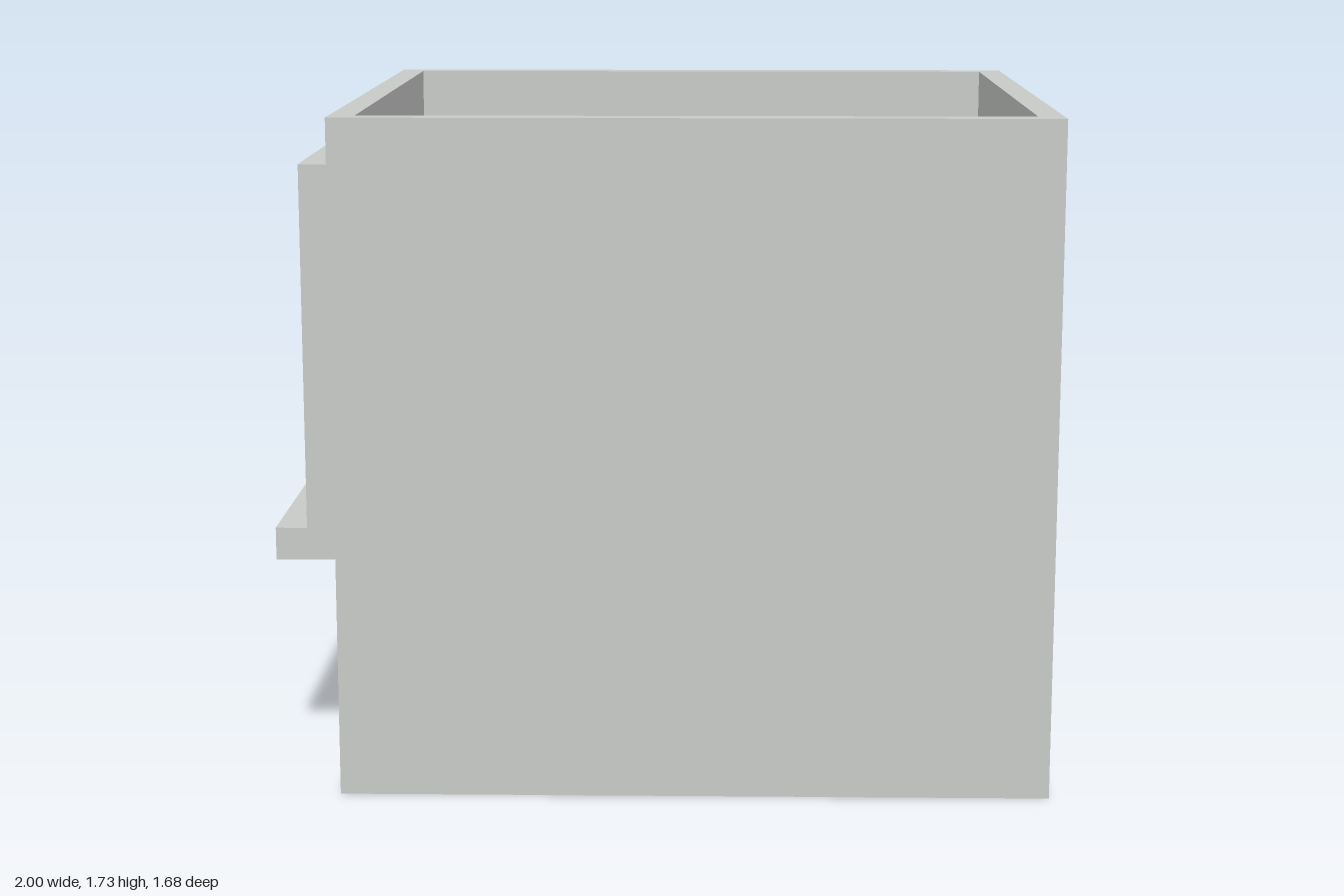
import * as THREE from 'three';

export function createModel() {
  const model = new THREE.Group();
  model.name = 'room';
  const wall = new THREE.MeshStandardMaterial({ name: 'plaster grey', color: 0xc8cac8 });
  const wood = new THREE.MeshStandardMaterial({ name: 'door tan', color: 0xb5a18c });

  const add = (parent, name, geometry, material) => {
    const mesh = new THREE.Mesh(geometry, material);
    mesh.name = name;
    parent.add(mesh);
    return mesh;
  };
  // Box given by its minimum and maximum on each axis
  const box = (parent, name, material, x0, x1, y0, y1, z0, z1) => {
    const mesh = add(parent, name, new THREE.BoxGeometry(x1 - x0, y1 - y0, z1 - z0), material);
    mesh.position.set((x0 + x1) / 2, (y0 + y1) / 2, (z0 + z1) / 2);
    return mesh;
  };
  // Slab facing x, with rectangular holes; rectangles are [z0, z1, y0, y1]
  const trace = (path, [z0, z1, y0, y1]) => {
    path.moveTo(z0, y0);
    path.lineTo(z1, y0);
    path.lineTo(z1, y1);
    path.lineTo(z0, y1);
    path.closePath();
    return path;
  };
  const slab = (parent, name, material, x0, x1, rect, holes) => {
    const shape = trace(new THREE.Shape(), rect);
    holes.forEach((h) => shape.holes.push(trace(new THREE.Path(), h)));
    const geo = new THREE.ExtrudeGeometry(shape, { depth: x1 - x0, bevelEnabled: false });
    geo.rotateY(-Math.PI / 2);
    geo.translate(x1, 0, 0);
    return add(parent, name, geo, material);
  };
  const inset = ([z0, z1, y0, y1], d) => [z0 + d, z1 - d, y0 + d, y1 - d];

  // Walls and floor, open at the top
  const L = -0.81, R = 1, D = 0.84, H = 1.73, T = 0.065, F = 0.045;
  const doorway = [0.15, 0.467, F, 0.825];
  const windowRect = [-0.038, 0.595, 0.555, 1.59];
  const shell = new THREE.Group();
  shell.name = 'shell';
  model.add(shell);
  box(shell, 'floor', wall, L, R, 0, F, -D, D);
  box(shell, 'frontWall', wall, L, R, F, H, D - T, D);
  box(shell, 'backWall', wall, L, R, F, H, -D, -D + T);
  const side = [-D + T, D - T, F, H];
  slab(shell, 'windowWall', wall, L, L + T, side, [inset(windowRect, 0.02)]);
  // The doorway reaches the floor, so this wall is a notched outline
  const notched = new THREE.Shape();
  [[side[0], F], [doorway[0], F], [doorway[0], doorway[3]], [doorway[1], doorway[3]],
    [doorway[1], F], [side[1], F], [side[1], H], [side[0], H]]
    .forEach(([z, y], i) => (i ? notched.lineTo(z, y) : notched.moveTo(z, y)));
  const doorWall = new THREE.ExtrudeGeometry(notched, { depth: T, bevelEnabled: false });
  doorWall.rotateY(-Math.PI / 2);
  doorWall.translate(R, 0, 0);
  add(shell, 'doorWall', doorWall, wall);

  // Window: deep casing, projecting sill, sash and glazing bars
  const win = new THREE.Group();
  win.name = 'window';
  model.add(win);
  const opening = inset(windowRect, 0.035);
  opening[2] = 0.64;
  slab(win, 'windowCasing', wall, -0.918, -0.71, windowRect, [opening]);
  box(win, 'windowSill', wall, -1, -0.918, 0.555, 0.64, windowRect[0], windowRect[1]);
  const glass = inset(opening, 0.025);
  slab(win, 'sash', wall, -0.855, -0.77, opening, [glass]);
  box(win, 'panes', wall, -0.825, -0.8, glass[2], glass[3], glass[0], glass[1]);
  const midZ = (glass[0] + glass[1]) / 2;
  box(win, 'mullion', wall, -0.845, -0.78, glass[2], glass[3], midZ - 0.01, midZ + 0.01);
  for (let i = 1; i < 4; i++) {
    const y = glass[2] + ((glass[3] - glass[2]) * i) / 4;
    box(win, 'glazingBar', wall, -0.84, -0.785, y - 0.008, y + 0.008, glass[0], glass[1]);
  }

  // Door: frame, core board, face boards with recessed and raised panels
  const door = new THREE.Group();
  door.name = 'door';
  model.add(door);
  const leaf = inset(doorway, 0.01);
  slab(door, 'doorFrame', wood, 0.928, 0.952, doorway, [leaf]);
  const recesses = [];
  for (const z of [[0.218, 0.287], [0.337, 0.408]]) {
    for (const y of [[0.135, 0.343], [0.405, 0.755]]) recesses.push([...z, ...y]);
  }
  box(door, 'doorCore', wood, 0.937, 0.951, leaf[2], leaf[3], leaf[0], leaf[1]);
  for (const [x0, x1] of [[0.928, 0.937], [0.951, 0.96]]) {
    slab(door, 'doorFace', wood, x0, x1, leaf, recesses);
    for (const r of recesses) {
      const p = inset(r, 0.012);
      box(door, 'raisedPanel', wood, x0 + 0.002, x1 - 0.002, p[2], p[3], p[0], p[1]);
    }
  }

  // Knobs and lock plates on both faces
  for (const [x, s] of [[0.96, 1], [0.928, -1]]) {
    const stem = add(door, 'knobStem', new THREE.CylinderGeometry(0.005, 0.005, 0.014, 12), wood);
    stem.rotation.z = Math.PI / 2;
    stem.position.set(x + s * 0.006, 0.445, 0.435);
    const knob = add(door, 'knob', new THREE.SphereGeometry(0.012, 16, 12), wood);
    knob.scale.x = 0.6;
    knob.position.set(x + s * 0.014, 0.445, 0.435);
    box(door, 'lockPlate', wood, x - 0.002, x + 0.002, 0.42, 0.43, 0.429, 0.441);
  }
  return model;
}
